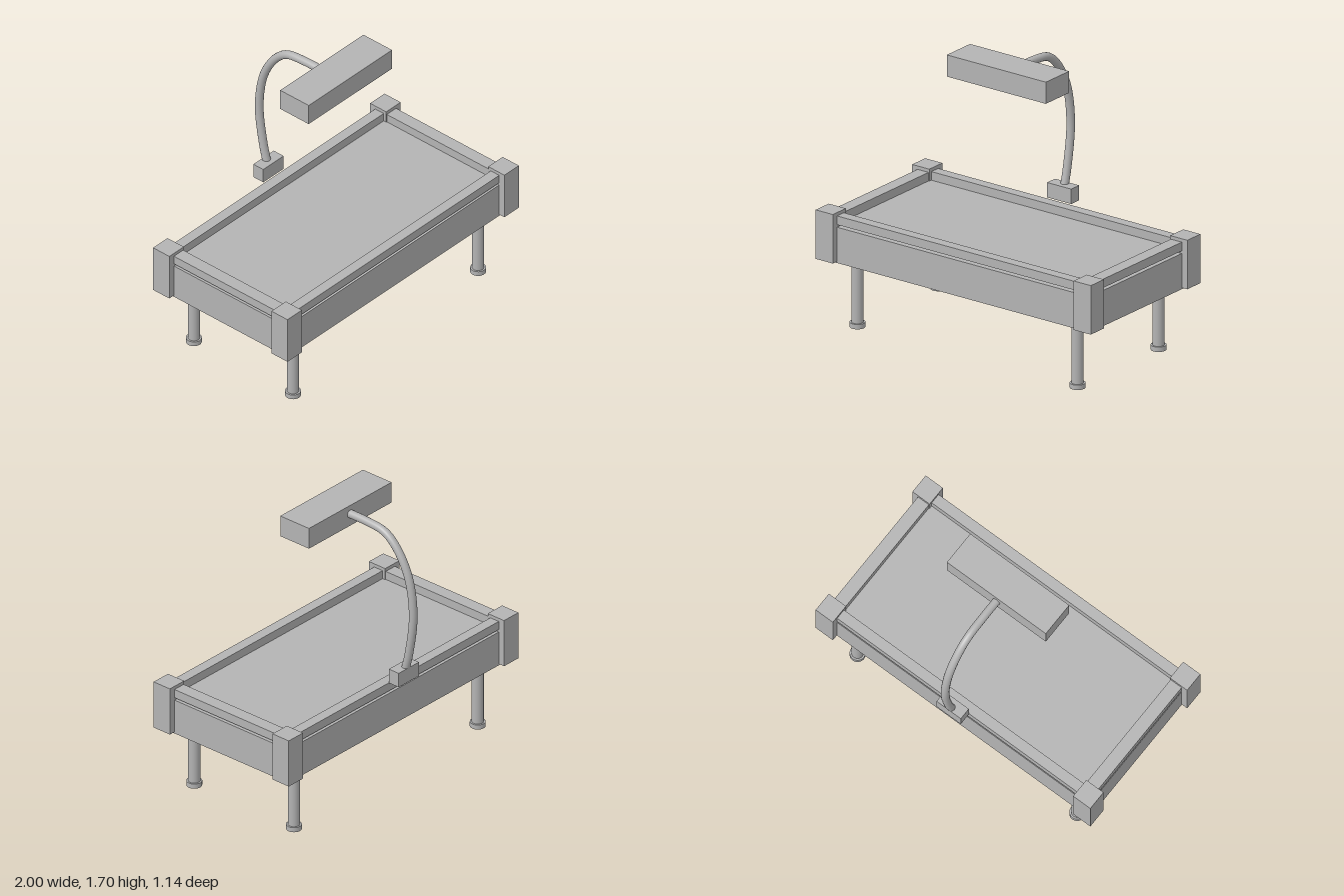
import * as THREE from 'three';

export function createModel() {
  const model = new THREE.Group();
  model.name = 'raisedTrayWithLamp';
  const grey = new THREE.MeshStandardMaterial({ color: 0xb3b3b3 });
  grey.name = 'grey';

  const add = (name, geometry, x = 0, y = 0, z = 0) => {
    const mesh = new THREE.Mesh(geometry, grey);
    mesh.name = name;
    mesh.position.set(x, y, z);
    model.add(mesh);
    return mesh;
  };
  // Box given by its minimum and maximum along each axis
  const box = (name, x0, x1, y0, y1, z0, z1) =>
    add(name, new THREE.BoxGeometry(x1 - x0, y1 - y0, z1 - z0),
      (x0 + x1) / 2, (y0 + y1) / 2, (z0 + z1) / 2);

  const zMid = 0.05; // the tray sits forward of the lamp arm

  // Tray body and the inset bed that leaves a groove under the rails
  box('trayBody', -0.96, 0.96, 0.405, 0.626, zMid - 0.48, zMid + 0.48);
  box('trayBed', -0.91, 0.91, 0.62, 0.643, zMid - 0.44, zMid + 0.44);

  for (const s of [-1, 1]) {
    // Top rails between the posts
    const zr = zMid + s * 0.4475;
    box(s > 0 ? 'frontRail' : 'backRail', -0.88, 0.88, 0.642, 0.696, zr - 0.0325, zr + 0.0325);
    box(s > 0 ? 'leftRail' : 'rightRail', s * 0.92 - 0.04, s * 0.92 + 0.04, 0.642, 0.696,
      zMid - 0.4, zMid + 0.4);

    for (const t of [-1, 1]) {
      const corner = (t > 0 ? 'front' : 'back') + (s > 0 ? 'Left' : 'Right');
      // Corner posts
      const x = s * 0.9375, z = zMid + t * 0.458;
      box(corner + 'Post', x - 0.0625, x + 0.0625, 0.414, 0.717, z - 0.0625, z + 0.0625);
      // Round legs with wider feet
      const zl = zMid + t * 0.384;
      add(corner + 'Leg', new THREE.CylinderGeometry(0.035, 0.035, 0.39, 24), s * 0.8, 0.215, zl);
      add(corner + 'Foot', new THREE.CylinderGeometry(0.046, 0.046, 0.03, 24), s * 0.8, 0.015, zl);
    }
  }

  // Lamp: bracket, curved arm and head
  box('lampBracket', -0.088, 0.088, 0.7, 0.792, -0.511, -0.435);
  const armPath = new THREE.CatmullRomCurve3([
    [0.74, -0.476], [0.9, -0.515], [1.16, -0.545], [1.4, -0.505],
    [1.56, -0.41], [1.625, -0.325], [1.643, -0.2], [1.645, -0.03],
  ].map(([y, z]) => new THREE.Vector3(0, y, z)));
  add('lampArm', new THREE.TubeGeometry(armPath, 48, 0.025, 16, false));
  box('lampHead', -0.36, 0.36, 1.566, 1.7, -0.06, 0.161);

  return model;
}
